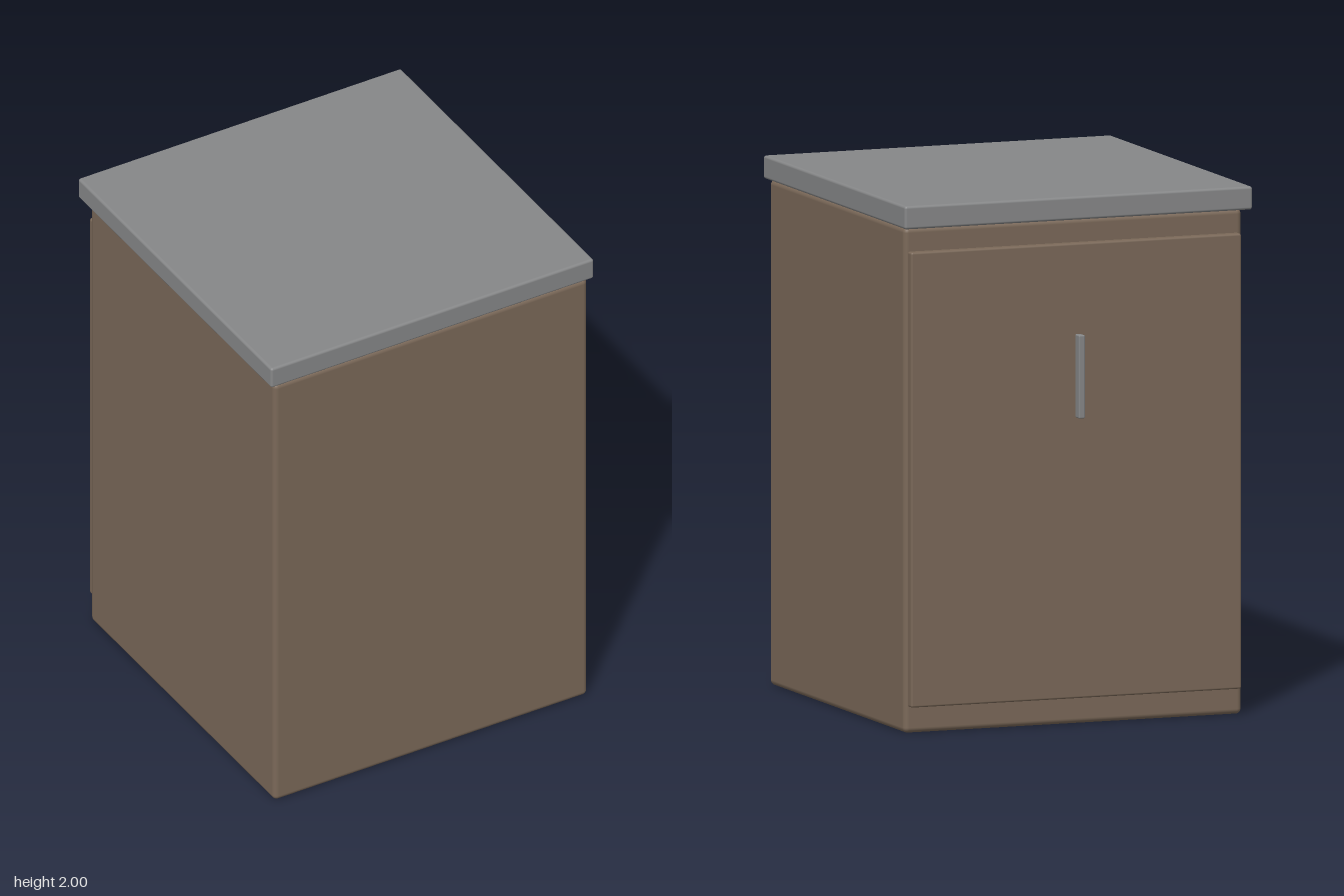
import * as THREE from 'three';
import { RoundedBoxGeometry } from 'three/addons/geometries/RoundedBoxGeometry.js';

export function createModel() {
  const wood = new THREE.MeshStandardMaterial({ color: 0x7a6858 });
  wood.name = 'brown wood';
  const grey = new THREE.MeshStandardMaterial({ color: 0x868788 });
  grey.name = 'grey';

  const cabinet = new THREE.Group();
  cabinet.name = 'cabinet';

  // Rounded block given by its minimum and maximum corners
  function block(name, material, min, max, radius) {
    const size = max.map((v, i) => v - min[i]);
    const mesh = new THREE.Mesh(new RoundedBoxGeometry(...size, 3, radius), material);
    mesh.position.set(...max.map((v, i) => (v + min[i]) / 2));
    mesh.name = name;
    cabinet.add(mesh);
  }

  block('body', wood, [-0.68, 0, -0.64], [0.68, 1.91, 0.72], 0.02);
  block('countertop', grey, [-0.7, 1.912, -0.697], [0.7, 2, 0.73], 0.01);

  // Door on the rear face, with its bar handle standing clear of it
  block('door', wood, [-0.665, 0.1, -0.672], [0.665, 1.82, -0.632], 0.008);
  block('handle', grey, [-0.0125, 1.165, -0.73], [0.0125, 1.48, -0.688], 0.005);

  return cabinet;
}
